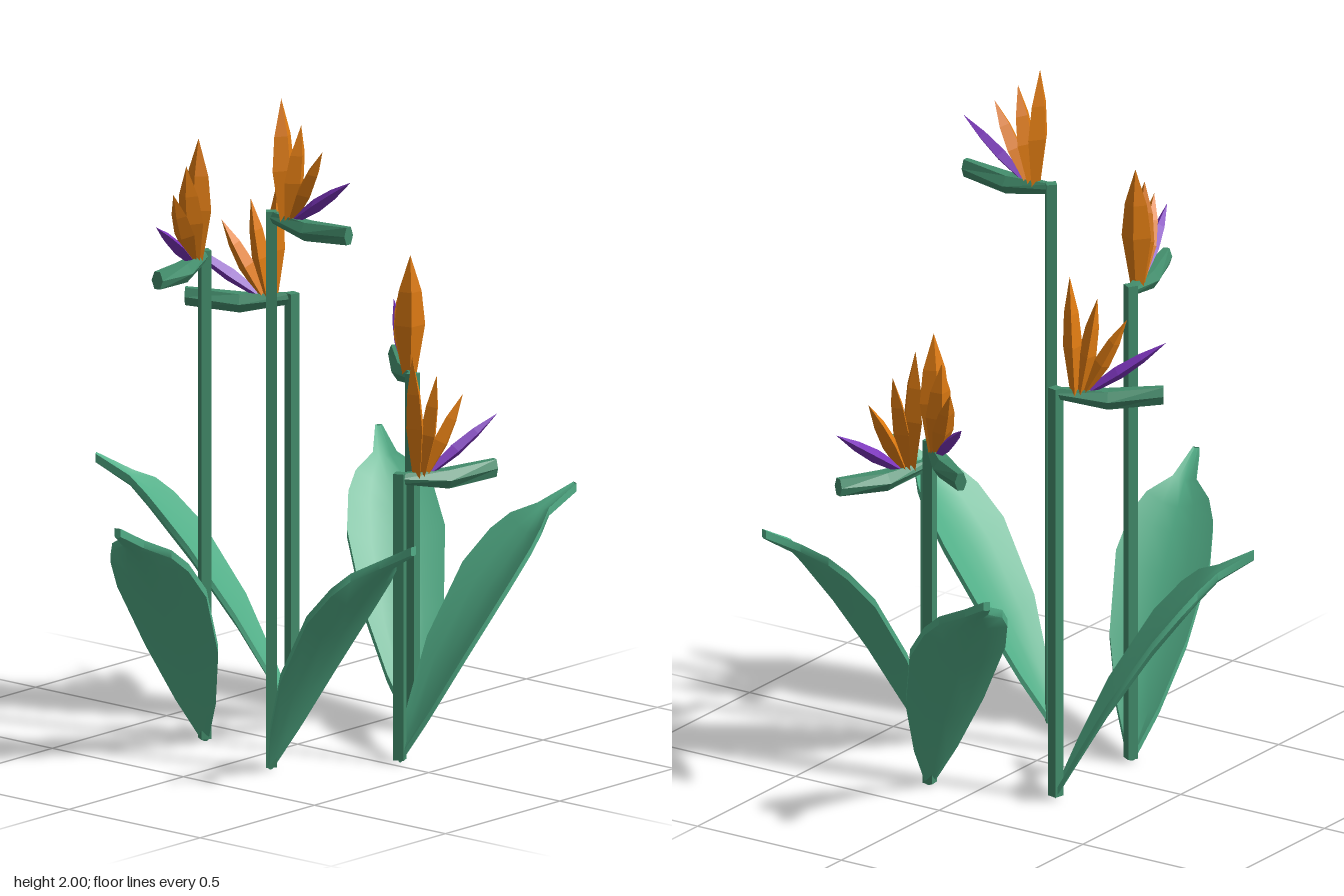
import * as THREE from 'three';
import { toCreasedNormals } from 'three/addons/utils/BufferGeometryUtils.js';

const mat = (name, color, flatShading = true) => {
  const m = new THREE.MeshStandardMaterial({ color, flatShading });
  m.name = name;
  return m;
};

// Skins equal loops of points; each loop runs from +y towards +z, loops advance along +x
function loft(loops) {
  const n = loops[0].length, last = (loops.length - 1) * n, index = [];
  for (let i = 0; i < loops.length - 1; i++) {
    for (let j = 0; j < n; j++) {
      const a = i * n + j, c = i * n + (j + 1) % n;
      index.push(a, c, a + n, c, c + n, a + n);
    }
  }
  for (let j = 1; j < n - 1; j++) index.push(0, j + 1, j, last, last + j, last + j + 1);
  const g = new THREE.BufferGeometry();
  g.setAttribute('position', new THREE.Float32BufferAttribute(loops.flat(2), 3));
  g.setIndex(index);
  g.computeVertexNormals();
  return g;
}

// Cupped leaf arching outward: [reach, height, half width]
function leafGeometry() {
  const rows = [[0, 0.025, 0.012], [0.06, 0.13, 0.065], [0.15, 0.285, 0.117], [0.28, 0.475, 0.143],
    [0.36, 0.575, 0.125], [0.41, 0.635, 0.095], [0.467, 0.695, 0.035], [0.57, 0.76, 0.01]];
  const across = [-1, -0.5, 0, 0.5, 1];
  const loops = rows.map(([x, y, w]) => {
    const top = across.map(s => [x, y + 0.4 * w * s * s, w * s]);
    const under = top.map(p => [p[0], p[1] - 0.024, p[2]]).reverse();
    return [...top, ...under];
  });
  return toCreasedNormals(loft(loops), 0.8);
}

// Beak-like bract, hexagonal in section: [reach, centre height, half height, half width]
function bractGeometry() {
  const rows = [[-0.01, -0.015, 0.015, 0.012], [0.15, -0.033, 0.027, 0.036], [0.31, -0.02, 0.026, 0.018]];
  return loft(rows.map(([x, y, h, w]) => Array.from({ length: 6 }, (_, j) => {
    const a = (j + 0.5) * Math.PI / 3;
    return [x, y + h * Math.cos(a) / 0.866, w * Math.sin(a)];
  })));
}

// Pointed four-sided petal of unit height
function petalGeometry() {
  const profile = [[0, 0], [0.45, 0], [1, 0.42], [0.75, 0.7], [0, 1]];
  return new THREE.LatheGeometry(profile.map(p => new THREE.Vector2(...p)), 4);
}

export function createModel() {
  const leafGreen = mat('leaf green', 0x53b089, false);
  const stemGreen = mat('stem green', 0x438d6c);
  const orange = mat('petal orange', 0xe07c12);
  const purple = mat('petal purple', 0x7b34ba);
  const leafGeo = leafGeometry(), bractGeo = bractGeometry(), petalGeo = petalGeometry();

  const add = (parent, name, geo, material) => {
    const mesh = new THREE.Mesh(geo, material);
    mesh.name = name;
    parent.add(mesh);
    return mesh;
  };

  // Stretches a petal between two points in the flower's plane
  function petal(parent, name, from, to, thick, wide, material) {
    const dir = new THREE.Vector2(to[0] - from[0], to[1] - from[1]);
    const mesh = add(parent, name, petalGeo, material);
    mesh.position.set(from[0], from[1], 0);
    mesh.scale.set(thick, dir.length(), wide);
    mesh.rotation.z = Math.atan2(-dir.x, dir.y);
  }

  const model = new THREE.Group();
  model.name = 'flowerClump';

  // Five plants in a ring, each shorter than the one before
  for (let i = 0; i < 5; i++) {
    const height = 1.66 - 0.2 * i;
    const place = THREE.MathUtils.degToRad(72.5 + 72 * i);
    const plant = new THREE.Group();
    plant.name = 'plant' + (i + 1);
    plant.position.set(0.038 + 0.322 * Math.cos(place), 0, -0.037 + 0.322 * Math.sin(place));
    plant.rotation.y = -THREE.MathUtils.degToRad(3 + 72 * i);
    model.add(plant);

    const stem = add(plant, 'stem', new THREE.CylinderGeometry(0.022, 0.022, height - 0.01, 4), stemGreen);
    stem.position.y = (height + 0.01) / 2;
    add(plant, 'leaf', leafGeo, leafGreen);

    const flower = new THREE.Group();
    flower.name = 'flower';
    flower.position.y = height;
    plant.add(flower);
    add(flower, 'bract', bractGeo, stemGreen);
    petal(flower, 'backPetal', [0.055, -0.02], [0.04, 0.34], 0.028, 0.045, orange);
    petal(flower, 'middlePetal', [0.07, -0.02], [0.12, 0.275], 0.026, 0.04, orange);
    petal(flower, 'frontPetal', [0.08, -0.02], [0.205, 0.21], 0.024, 0.032, orange);
    petal(flower, 'purplePetal', [0.08, -0.02], [0.318, 0.14], 0.02, 0.022, purple);
  }
  return model;
}
